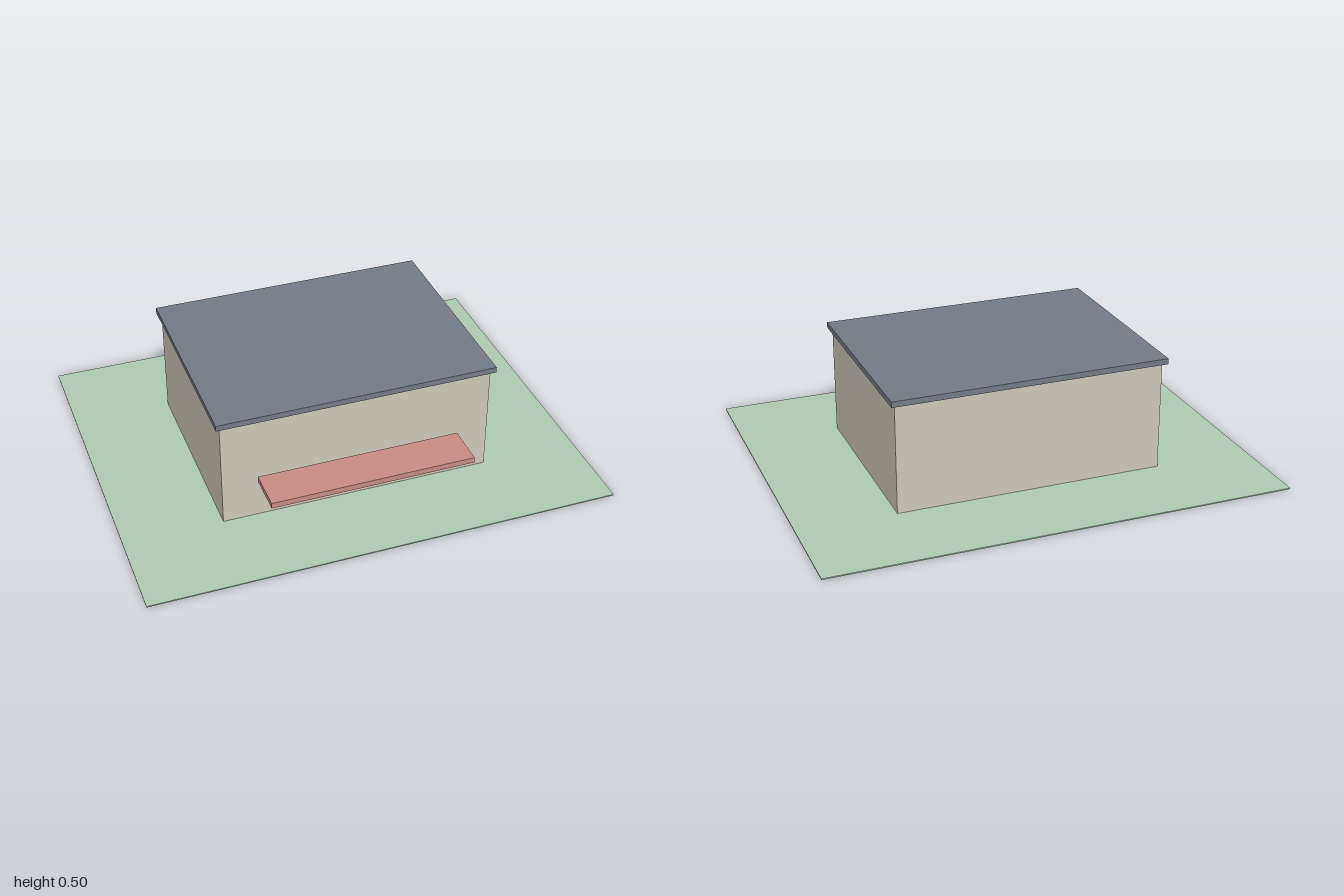
import * as THREE from 'three';

const material = (color) => new THREE.MeshStandardMaterial({ color });

export function createModel() {
  const group = new THREE.Group();
  const lawn = material(0xb0cbb5);
  const plaster = material(0xcfc9bb);
  const slate = material(0x757c86);
  const coral = material(0xc98d82);

  // Box given by its extents on each axis
  function box(name, mat, [x0, x1], [y0, y1], [z0, z1]) {
    const mesh = new THREE.Mesh(new THREE.BoxGeometry(x1 - x0, y1 - y0, z1 - z0), mat);
    mesh.position.set((x0 + x1) / 2, (y0 + y1) / 2, (z0 + z1) / 2);
    mesh.name = name;
    group.add(mesh);
  }

  // Site and main volume
  box('ground', lawn, [-1, 1], [0, 0.005], [-0.815, 0.815]);
  box('walls', plaster, [-0.58, 0.58], [0.005, 0.48], [-0.435, 0.435]);
  box('roof', slate, [-0.598, 0.598], [0.48, 0.505], [-0.455, 0.453]);

  // Entrance canopy, standing just clear of the front wall
  box('canopy', coral, [-0.435, 0.435], [0.19, 0.215], [0.457, 0.635]);

  // Door panels in two mirrored pairs
  for (const side of [-1, 1]) {
    for (const x of [0.182, 0.328]) {
      const cx = side * x;
      box('doorPanel', coral, [cx - 0.043, cx + 0.043], [0.065, 0.18], [0.435, 0.446]);
    }
  }
  return group;
}
